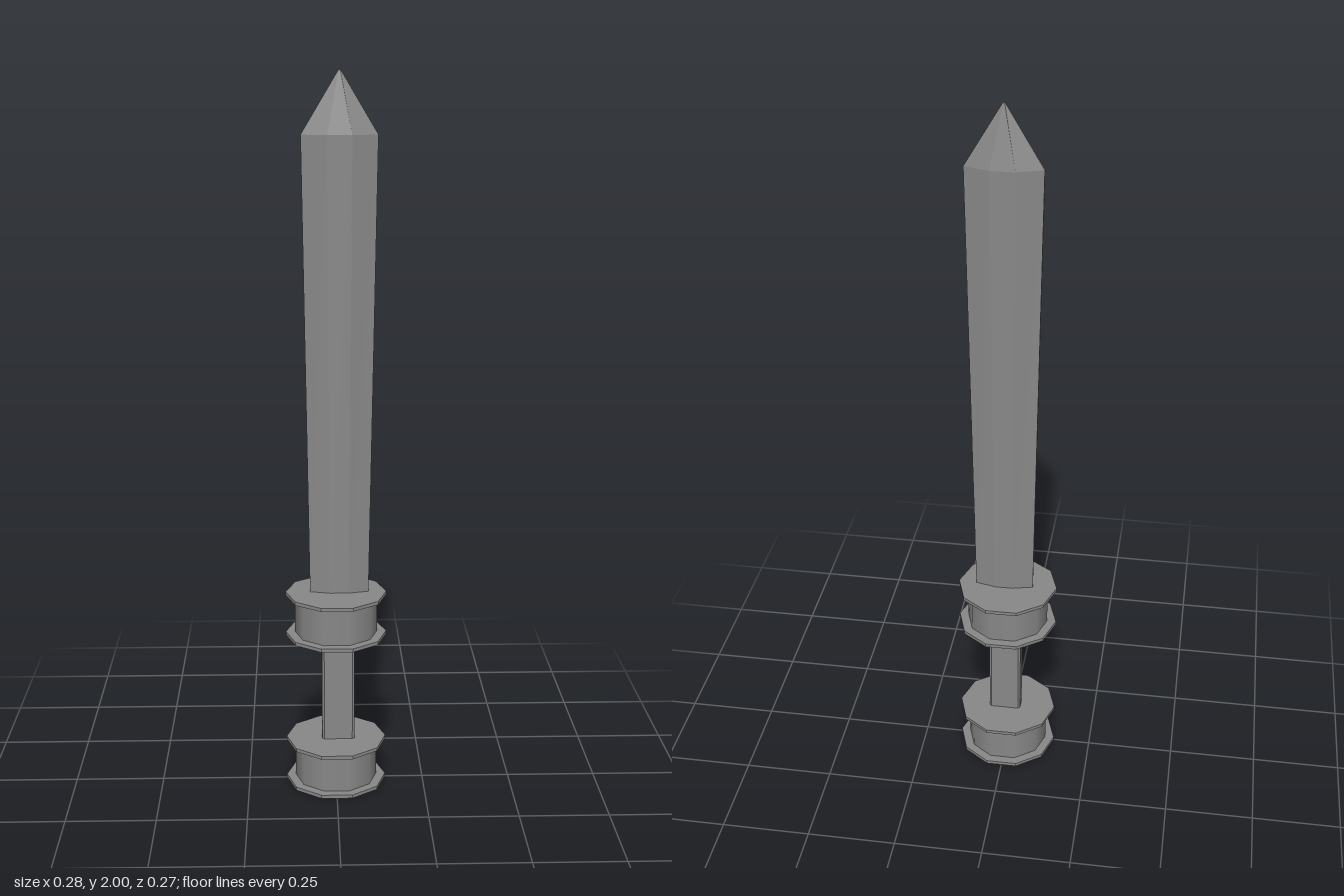
import * as THREE from 'three';

const SIDES = 10;
const smooth = new THREE.MeshStandardMaterial({ color: 0x888888 });
const faceted = new THREE.MeshStandardMaterial({ color: 0x888888, flatShading: true });

function addMesh(parent, name, geometry, material) {
  const mesh = new THREE.Mesh(geometry, material);
  mesh.name = name;
  parent.add(mesh);
}

// Ten-sided disc or drum with a corner pointing along x
function prism(radius, bottom, top) {
  return new THREE.CylinderGeometry(radius, radius, top - bottom, SIDES)
    .rotateY(Math.PI / 2)
    .translate(0, (bottom + top) / 2, 0);
}

// Spool: a drum between two thin wider plates
function makeSpool(name, bottom, top) {
  const spool = new THREE.Group();
  spool.name = name;
  const plate = 0.01;
  addMesh(spool, 'drum', prism(0.116, bottom + plate, top - plate), smooth);
  addMesh(spool, 'lowerPlate', prism(0.142, bottom, bottom + plate), faceted);
  addMesh(spool, 'upperPlate', prism(0.142, top - plate, top), faceted);
  return spool;
}

// Flattened octagon: wide flats front and back, narrow flats on the edges
function octagon({ y, x = 0, z = 0, halfWidth, flat, halfDepth, edge }) {
  return [
    [halfWidth, edge], [flat, halfDepth], [-flat, halfDepth], [-halfWidth, edge],
    [-halfWidth, -edge], [-flat, -halfDepth], [flat, -halfDepth], [halfWidth, -edge],
  ].map(([px, pz]) => new THREE.Vector3(x + px, y, z + pz));
}

// Skin between rings listed from bottom to top, closed at both ends
function loft(rings) {
  const n = rings[0].length;
  const points = rings.flat();
  const index = [];
  for (let r = 0; r < rings.length - 1; r++) {
    for (let i = 0; i < n; i++) {
      const a = r * n + i, b = r * n + (i + 1) % n;
      index.push(a, a + n, b, b, a + n, b + n);
    }
  }
  const last = (rings.length - 1) * n;
  for (let i = 1; i < n - 1; i++) {
    index.push(0, i, i + 1, last, last + i + 1, last + i);
  }
  const geometry = new THREE.BufferGeometry().setFromPoints(points);
  geometry.setIndex(index);
  geometry.computeVertexNormals();
  return geometry;
}

export function createModel() {
  const sword = new THREE.Group();
  sword.name = 'sword';

  // Pommel and guard share the spool shape
  sword.add(makeSpool('pommel', 0, 0.13));
  sword.add(makeSpool('guard', 0.442, 0.571));

  // Grip with narrow chamfered corners
  const grip = { x: 0.006, halfWidth: 0.046, flat: 0.04, halfDepth: 0.023, edge: 0.018 };
  addMesh(sword, 'grip', loft([
    octagon({ ...grip, y: 0.125 }),
    octagon({ ...grip, y: 0.45 }),
  ]), faceted);

  // Blade widens upward, then closes to a point
  const x = 0.009, z = -0.0015;
  addMesh(sword, 'blade', loft([
    octagon({ y: 0.565, x, z, halfWidth: 0.082, flat: 0.026, halfDepth: 0.017, edge: 0.003 }),
    octagon({ y: 1.835, x, z, halfWidth: 0.102, flat: 0.033, halfDepth: 0.029, edge: 0.004 }),
    octagon({ y: 2, x, z, halfWidth: 0.003, flat: 0.002, halfDepth: 0.003, edge: 0.002 }),
  ]), faceted);

  return sword;
}
